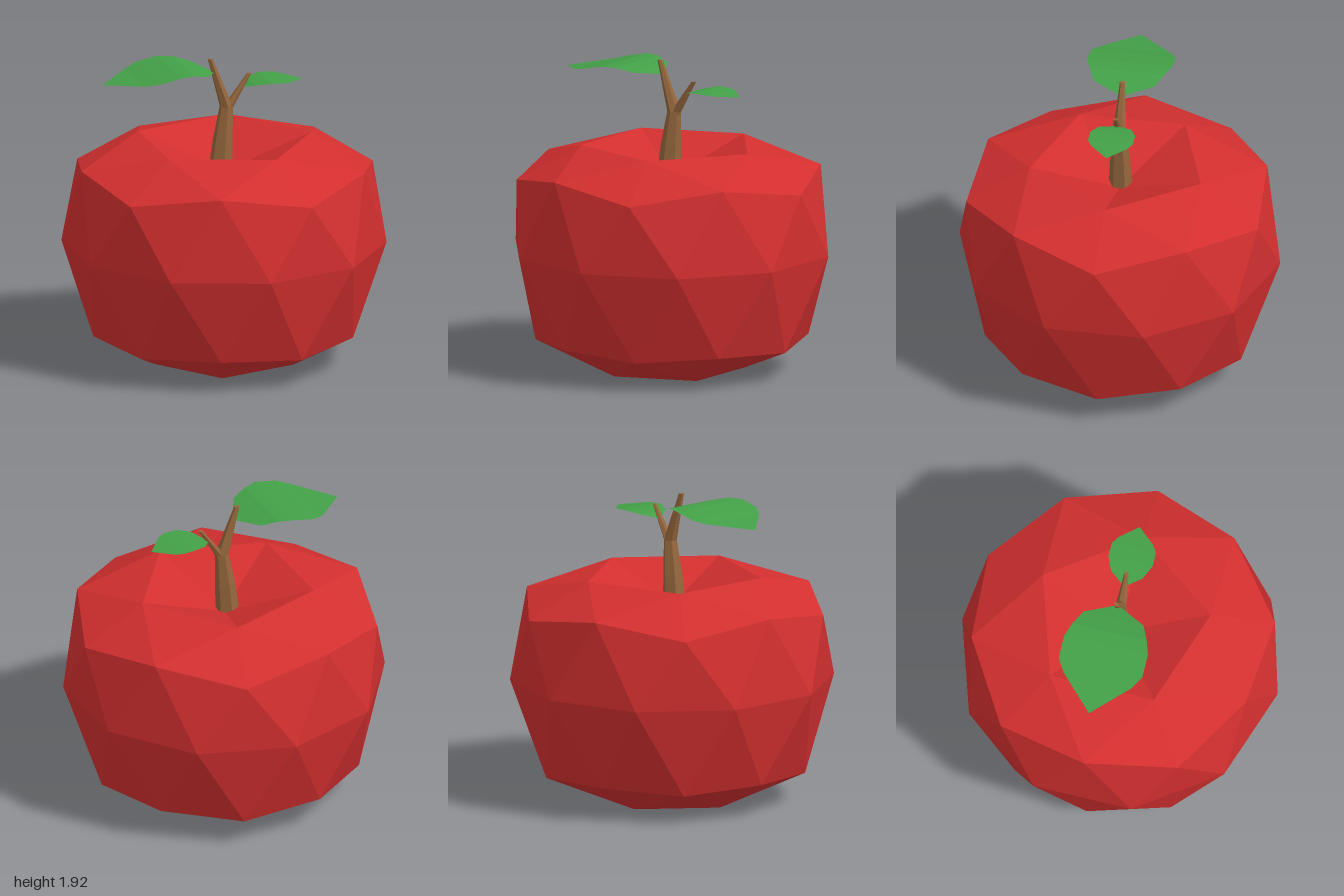
import * as THREE from 'three';

const RED = 0xd32f2f, BROWN = 0x94663c, GREEN = 0x43a047;

function flatMesh(name, tris, color, side = THREE.FrontSide) {
  const g = new THREE.BufferGeometry();
  g.setAttribute('position', new THREE.Float32BufferAttribute(tris.flat(2), 3));
  g.computeVertexNormals();
  const mesh = new THREE.Mesh(g, new THREE.MeshStandardMaterial({ color, flatShading: true, side }));
  mesh.name = name;
  return mesh;
}

// Faceted fruit body: rings of 5 and 10 points joined like a subdivided icosahedron, poles pushed in
function fruitBody() {
  const at = (r, y, deg) => {
    const a = THREE.MathUtils.degToRad(deg);
    return [r * Math.cos(a), y, r * Math.sin(a)];
  };
  const even = j => Math.abs(j) % 2 === 0;
  const topPole = [0, 1.2, 0], bottomPole = [0, 0.17, 0];
  const rim = k => at(0.56, 1.4, 72 * k);
  const shoulder = j => even(j) ? at(0.955, 1.185, 36 * j) : at(0.915, 1.27, 36 * j);
  const waist = j => at(1, 0.75, 36 * j + 18);
  const lower = j => at(0.84, even(j) ? 0.185 : 0.21, 36 * j);
  const foot = k => at(0.45, 0, 72 * k + 36);
  const t = [];
  for (let k = 0; k < 5; k++) {
    const j = 2 * k;
    t.push([topPole, rim(k + 1), rim(k)],
      [rim(k), shoulder(j), shoulder(j - 1)],
      [rim(k), shoulder(j + 1), shoulder(j)],
      [rim(k), rim(k + 1), shoulder(j + 1)],
      [foot(k), lower(j), lower(j + 1)],
      [foot(k), lower(j + 1), lower(j + 2)],
      [foot(k), lower(j + 2), foot(k + 1)],
      [bottomPole, foot(k), foot(k + 1)]);
  }
  for (let j = 0; j < 10; j++) {
    t.push([shoulder(j), shoulder(j + 1), waist(j)],
      [shoulder(j), waist(j), waist(j - 1)],
      [waist(j), lower(j + 1), lower(j)],
      [waist(j - 1), waist(j), lower(j)]);
  }
  return flatMesh('fruitBody', t, RED);
}

// Six-sided tapering wood through sections [x, y, radius], capped at both ends
function wood(name, sections) {
  const p = (s, i) => {
    const a = (i + 0.5) * Math.PI / 3;
    return [s[0] + s[2] * Math.cos(a), s[1], s[2] * Math.sin(a)];
  };
  const t = [], first = sections[0], last = sections[sections.length - 1];
  for (let i = 0; i < 6; i++) {
    for (let n = 0; n < sections.length - 1; n++) {
      const a = sections[n], b = sections[n + 1];
      t.push([p(a, i), p(b, i), p(a, i + 1)], [p(b, i), p(b, i + 1), p(a, i + 1)]);
    }
    t.push([[last[0], last[1], 0], p(last, i + 1), p(last, i)],
      [[first[0], first[1], 0], p(first, i), p(first, i + 1)]);
  }
  return flatMesh(name, t, BROWN);
}

// Thin arched leaf through stations [x, y, half width]
function leaf(name, stations) {
  const t = [], dir = Math.sign(stations[1][0] - stations[0][0]);
  const p = (s, side) => [s[0], s[1], s[2] * side * dir];
  for (let n = 0; n < stations.length - 1; n++) {
    const a = stations[n], b = stations[n + 1];
    t.push([p(a, -1), p(a, 1), p(b, 1)], [p(a, -1), p(b, 1), p(b, -1)]);
  }
  return flatMesh(name, t.filter(f => new Set(f.map(String)).size === 3), GREEN, THREE.DoubleSide);
}

export function createModel() {
  const model = new THREE.Group();
  model.name = 'fruit';
  model.add(
    fruitBody(),
    wood('stem', [[-0.025, 1.18, 0.075], [-0.008, 1.4, 0.062], [0.015, 1.61, 0.042], [-0.088, 1.92, 0.016]]),
    wood('sideTwig', [[0.015, 1.56, 0.03], [0.03, 1.61, 0.032], [0.162, 1.81, 0.014]]),
    leaf('largeLeaf', [[-0.07, 1.835, 0.02], [-0.16, 1.862, 0.19], [-0.26, 1.888, 0.235], [-0.35, 1.89, 0.265],
      [-0.49, 1.862, 0.265], [-0.57, 1.842, 0.215], [-0.78, 1.81, 0]]),
    leaf('smallLeaf', [[0.12, 1.73, 0.02], [0.175, 1.755, 0.1], [0.26, 1.77, 0.14], [0.35, 1.766, 0.14],
      [0.4, 1.76, 0.11], [0.5, 1.748, 0]]),
  );
  return model;
}
